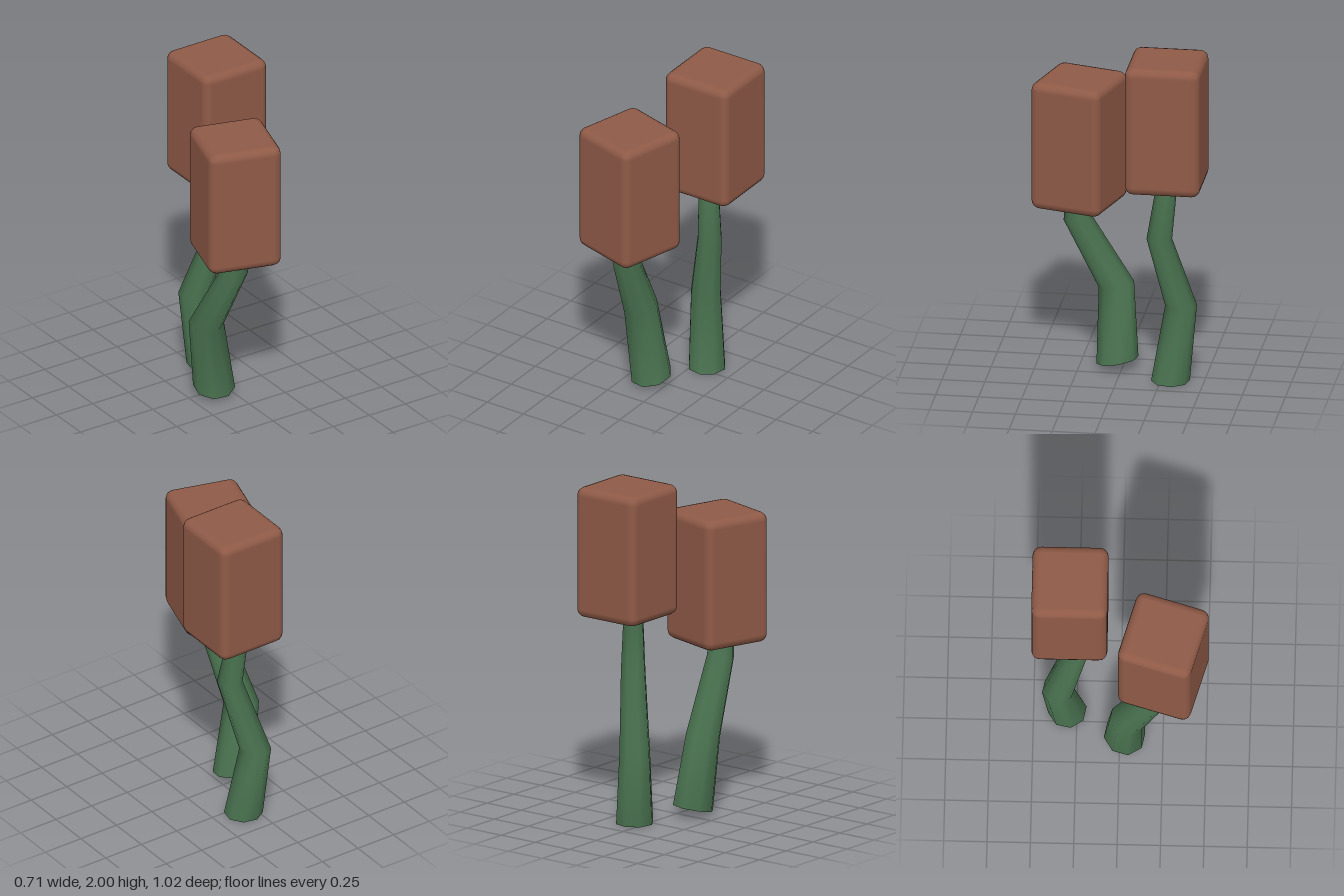
import * as THREE from 'three';
import { toCreasedNormals } from 'three/addons/utils/BufferGeometryUtils.js';
import { RoundedBoxGeometry } from 'three/addons/geometries/RoundedBoxGeometry.js';

const SIDES = 8;
const TURN = THREE.MathUtils.degToRad(11);

// Bent stalk: a cylinder whose rings are moved onto [x, y, z, radius] joints, lowest first.
// slopeX and slopeZ lean the ring planes.
function stalkGeometry(joints, slopeX = 0, slopeZ = 0) {
  const last = joints.length - 1;
  const geo = new THREE.CylinderGeometry(1, 1, last, SIDES, last, false, TURN);
  const pos = geo.attributes.position;
  for (let i = 0; i < pos.count; i++) {
    const [x, y, z, r] = joints[Math.round(pos.getY(i) + last / 2)];
    const dx = pos.getX(i) * r;
    const dz = pos.getZ(i) * r;
    pos.setXYZ(i, x + dx, y + dx * slopeX + dz * slopeZ, z + dz);
  }
  return toCreasedNormals(geo, 1.05);
}

export function createModel() {
  const brown = new THREE.MeshStandardMaterial({ color: 0x8f5a47 });
  brown.name = 'seed head brown';
  const green = new THREE.MeshStandardMaterial({ color: 0x4a7350 });
  green.name = 'stalk green';

  const model = new THREE.Group();
  model.name = 'reeds';
  const headGeometry = new RoundedBoxGeometry(0.438, 0.776, 0.438, 2, 0.05);

  const reeds = [
    {
      name: 'tallReed',
      head: [0.135, 1.612, -0.292],
      turn: 0,
      slope: [0, 0],
      joints: [
        [0.07, 0, -0.305, 0.112],
        [0.026, 0.45, -0.36, 0.092],
        [0.126, 0.89, -0.248, 0.074],
        [0.085, 1.3, -0.298, 0.057],
      ],
    },
    {
      name: 'shortReed',
      head: [-0.096, 1.39, 0.252],
      turn: -0.28,
      slope: [0.07, -0.19],
      joints: [
        [-0.095, 0.047, 0.028, 0.121],
        [-0.158, 0.49, 0.043, 0.102],
        [-0.112, 0.905, 0.262, 0.081],
        [-0.125, 1.12, 0.262, 0.07],
      ],
    },
  ];

  for (const { name, head, turn, slope, joints } of reeds) {
    const reed = new THREE.Group();
    reed.name = name;

    const stalk = new THREE.Mesh(stalkGeometry(joints, ...slope), green);
    stalk.name = 'stalk';

    const seedHead = new THREE.Mesh(headGeometry, brown);
    seedHead.name = 'seedHead';
    seedHead.position.set(...head);
    seedHead.rotation.y = turn;

    reed.add(stalk, seedHead);
    model.add(reed);
  }
  return model;
}
